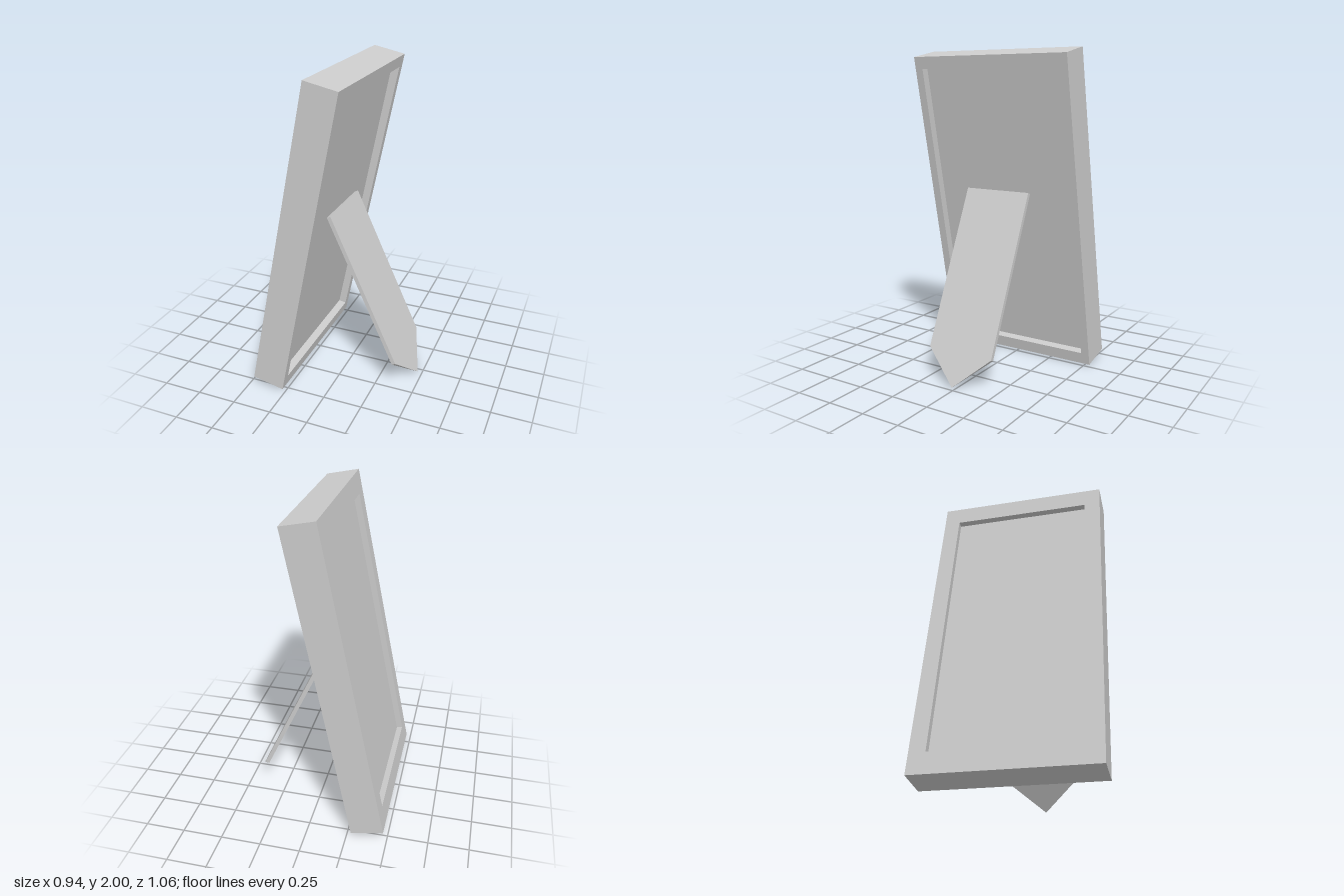
import * as THREE from 'three';
import { ConvexGeometry } from 'three/addons/geometries/ConvexGeometry.js';

const material = new THREE.MeshStandardMaterial({ color: 0xcccccc });

const WIDTH = 1.064, HEIGHT = 1.995, DEPTH = 0.206;
const FRONT_RIM = 0.038, BACK_RIM = 0.05;

function addMesh(parent, name, geometry) {
  const mesh = new THREE.Mesh(geometry, material);
  mesh.name = name;
  parent.add(mesh);
  return mesh;
}

// Closed rectangle, as wide as the frame less the given borders
function rectangle(target, side, end) {
  const w = WIDTH / 2 - side;
  target.moveTo(-w, end);
  target.lineTo(w, end);
  target.lineTo(w, HEIGHT - end);
  target.lineTo(-w, HEIGHT - end);
  target.closePath();
  return target;
}

// Rectangular rim whose thickness runs along +x
function rim(side, end, depth) {
  const shape = rectangle(new THREE.Shape(), 0, 0);
  shape.holes.push(rectangle(new THREE.Path(), side, end));
  const geometry = new THREE.ExtrudeGeometry(shape, { depth, bevelEnabled: false });
  return geometry.rotateY(Math.PI / 2);
}

export function createModel() {
  const model = new THREE.Group();
  model.name = 'pictureFrame';

  // Leaning frame: panel between a front rim and a back rim
  const frame = new THREE.Group();
  frame.name = 'frame';
  frame.position.set(-0.475, 0.047, 0);
  frame.rotation.z = -THREE.MathUtils.degToRad(11.76);
  model.add(frame);

  const panelDepth = DEPTH - FRONT_RIM - BACK_RIM;
  addMesh(frame, 'panel', new THREE.BoxGeometry(panelDepth, HEIGHT, WIDTH))
    .position.set(FRONT_RIM + panelDepth / 2, HEIGHT / 2, 0);
  addMesh(frame, 'frontRim', rim(0.1, 0.13, FRONT_RIM));
  addMesh(frame, 'backRim', rim(0.053, 0.075, BACK_RIM)).position.x = DEPTH - BACK_RIM;

  // Easel leg: flat strip that narrows and thins to a point at the foot
  const points = [new THREE.Vector3(0, 0, 0)];
  for (const y of [0.208, 1.243])
    for (const x of [0, -0.025])
      for (const z of [-0.224, 0.224]) points.push(new THREE.Vector3(x, y, z));
  const leg = addMesh(model, 'easelLeg', new ConvexGeometry(points));
  leg.position.set(0.47, 0, 0.028);
  leg.rotation.z = THREE.MathUtils.degToRad(24.58);

  return model;
}
